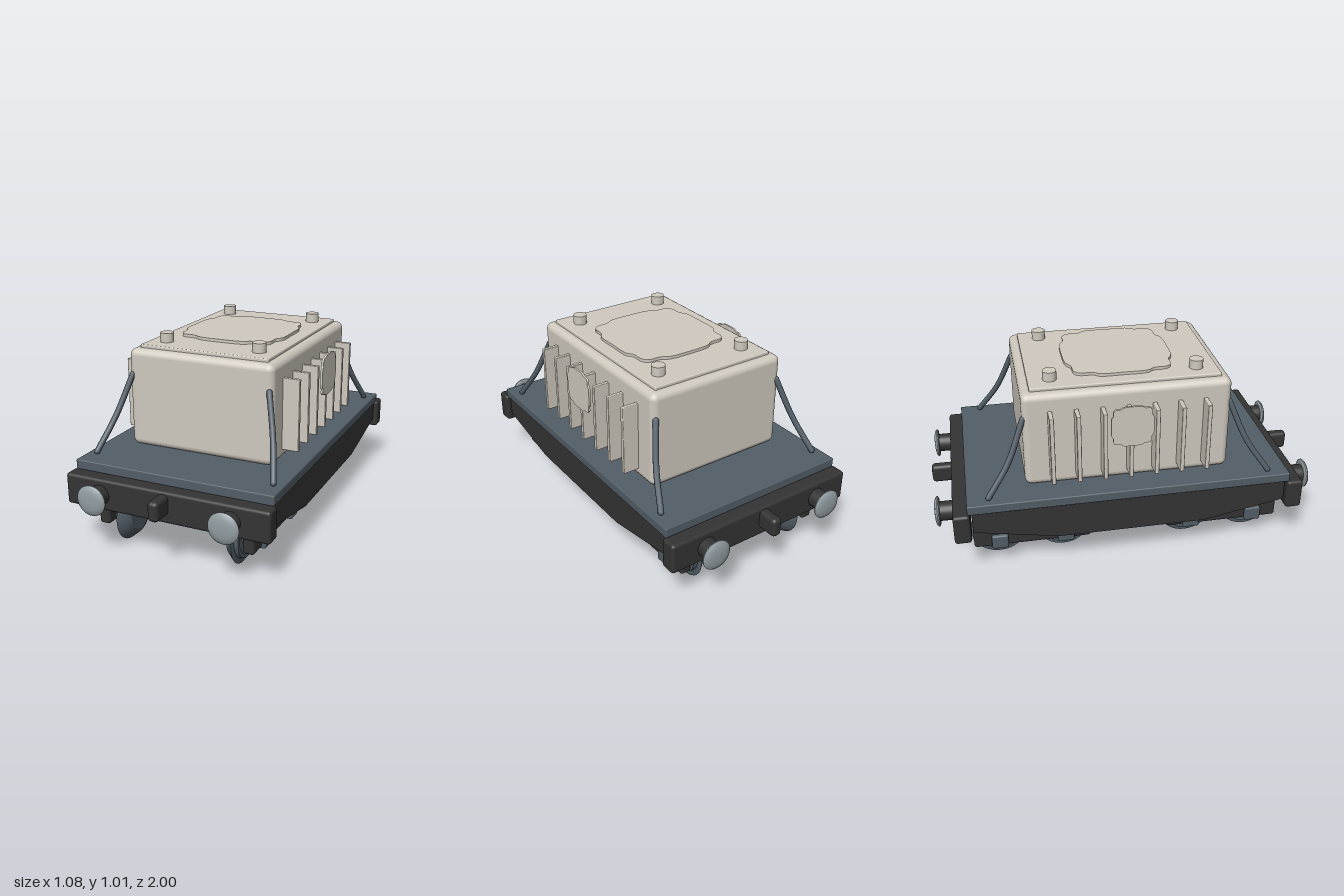
import * as THREE from 'three';
import { toCreasedNormals } from 'three/addons/utils/BufferGeometryUtils.js';
import { RoundedBoxGeometry } from 'three/addons/geometries/RoundedBoxGeometry.js';

const material = (name, color) => {
  const m = new THREE.MeshStandardMaterial({ color });
  m.name = name;
  return m;
};

export function createModel() {
  const cream = material('cream paint', 0xd0cabf);
  const slate = material('slate steel', 0x535e67);
  const black = material('black iron', 0x343434);
  const metal = material('pale metal', 0x929da2);

  const model = new THREE.Group();
  model.name = 'flaskWagon';

  const add = (name, geometry, mat, x = 0, y = 0, z = 0, parent = model) => {
    const mesh = new THREE.Mesh(geometry, mat);
    mesh.name = name;
    mesh.position.set(x, y, z);
    parent.add(mesh);
    return mesh;
  };
  const rounded = (w, h, d, r) => new RoundedBoxGeometry(w, h, d, 3, r);
  const lathe = (profile, segments) => toCreasedNormals(
    new THREE.LatheGeometry(profile.map(([r, a]) => new THREE.Vector2(r, a)), segments), 0.5);

  // Deck
  add('deck', rounded(1.05, 0.05, 1.65, 0.006), slate, 0, 0.417, 0);

  // Tapered side sills
  const sillShape = new THREE.Shape([
    [-0.8, 0.395], [-0.8, 0.285], [-0.38, 0.205], [0.38, 0.205], [0.8, 0.285], [0.8, 0.395],
  ].map(([z, y]) => new THREE.Vector2(z, y)));
  const sillGeometry = new THREE.ExtrudeGeometry(sillShape, {
    depth: 0.06, bevelSize: 0.005, bevelThickness: 0.005, bevelSegments: 2,
  });
  sillGeometry.translate(0, 0, -0.03).rotateY(-Math.PI / 2);
  for (const s of [-1, 1]) add('sideSill', sillGeometry, black, s * 0.48, 0, 0);

  // Flask body, lid and lid bolts
  add('flaskBody', rounded(0.78, 0.505, 1.05, 0.035), cream, 0, 0.6925, 0);
  add('lid', rounded(0.69, 0.03, 0.96, 0.006), cream, 0, 0.946, 0);
  const bolt = toCreasedNormals(new THREE.CylinderGeometry(0.035, 0.035, 0.05, 24), 0.5);
  for (const x of [-0.253, 0.253]) {
    for (const z of [-0.37, 0.37]) add('lidBolt', bolt, cream, x, 0.983, z);
  }

  // Scalloped plates: one quarter outline mirrored round
  const quarter = [[0.275, 0], [0.272, 0.12], [0.25, 0.155], [0.247, 0.215], [0.225, 0.245],
    [0.155, 0.252], [0.12, 0.273], [0, 0.28]];
  const half = [...quarter, ...quarter.slice(0, -1).reverse().map(([x, y]) => [-x, y])];
  const outline = [...half, ...half.slice(1, -1).reverse().map(([x, y]) => [x, -y])];
  const plate = (scale, depth) => {
    const curve = new THREE.CatmullRomCurve3(
      outline.map(([x, y]) => new THREE.Vector3(x * scale, y * scale, 0)), true);
    const points = curve.getPoints(96).slice(0, -1);
    const shape = new THREE.Shape(points.map((p) => new THREE.Vector2(p.x, p.y)));
    return new THREE.ExtrudeGeometry(shape, { depth, bevelEnabled: false });
  };
  add('lidPlate', plate(1, 0.016).rotateX(-Math.PI / 2), cream, 0, 0.96, 0);
  const sidePlate = plate(0.385, 0.011);
  for (const s of [-1, 1]) {
    add('sidePlate', sidePlate, cream, s * 0.476, 0.785, 0).rotation.y = s * Math.PI / 2;
  }

  // Cooling fins
  const fin = rounded(0.11, 0.365, 0.022, 0.004);
  for (const s of [-1, 1]) {
    for (let i = -3; i <= 3; i++) add('coolingFin', fin, cream, s * 0.42, 0.672, i * 0.13);
  }

  // Tie rods from the flask corners to the deck
  for (const sx of [-1, 1]) {
    for (const sz of [-1, 1]) {
      const path = new THREE.CatmullRomCurve3([
        [0.37, 0.815, 0.52], [0.427, 0.61, 0.607], [0.475, 0.452, 0.715],
      ].map(([x, y, z]) => new THREE.Vector3(sx * x, y, sz * z)));
      const rod = new THREE.Group();
      rod.name = 'tieRod';
      model.add(rod);
      add('rod', new THREE.TubeGeometry(path, 16, 0.015, 10), slate, 0, 0, 0, rod);
      for (const p of [path.getPoint(0), path.getPoint(1)]) {
        add('rodEnd', new THREE.SphereGeometry(0.015, 10, 8), slate, p.x, p.y, p.z, rod);
      }
    }
  }

  // End beams, bumpers and coupling hooks at both ends
  const shank = toCreasedNormals(new THREE.CylinderGeometry(0.05, 0.05, 0.09, 28), 0.5);
  shank.rotateX(Math.PI / 2);
  const head = lathe([[0, 0.962], [0.068, 0.962], [0.076, 0.967], [0.077, 0.973],
    [0.068, 0.981], [0.045, 0.987], [0.022, 0.989], [0, 0.99]], 40).rotateX(Math.PI / 2);
  for (const turn of [0, Math.PI]) {
    const end = new THREE.Group();
    end.name = turn ? 'backEnd' : 'frontEnd';
    end.rotation.y = turn;
    model.add(end);
    add('endBeam', rounded(1.076, 0.16, 0.085, 0.016), black, 0, 0.315, 0.855, end);
    add('couplingHook', rounded(0.055, 0.1, 0.13, 0.02), black, 0, 0.332, 0.935, end);
    for (const x of [-0.345, 0.345]) {
      add('bumperShank', shank, black, x, 0.315, 0.925, end);
      add('bumperHead', head, metal, x, 0.315, 0, end);
    }
  }

  // Bogies: frames, bolster, wheelsets and axle boxes
  const wheel = lathe([[0, 0.262], [0.088, 0.258], [0.112, 0.27], [0.147, 0.31],
    [0.12, 0.314], [0.116, 0.333], [0.096, 0.333], [0.09, 0.322], [0.052, 0.322],
    [0.046, 0.334], [0, 0.334]], 40).rotateZ(-Math.PI / 2);
  const axle = toCreasedNormals(new THREE.CylinderGeometry(0.027, 0.027, 0.56, 20), 0.5);
  axle.rotateZ(Math.PI / 2);
  const frame = rounded(0.06, 0.115, 0.605, 0.015);
  const axleBox = rounded(0.06, 0.078, 0.085, 0.01);
  for (const s of [-1, 1]) {
    const bogie = new THREE.Group();
    bogie.name = s > 0 ? 'frontBogie' : 'backBogie';
    bogie.position.z = s * 0.505;
    model.add(bogie);
    add('bolster', rounded(0.84, 0.1, 0.14, 0.01), black, 0, 0.255, 0, bogie);
    for (const side of [-1, 1]) {
      add('bogieFrame', frame, black, side * 0.39, 0.17, 0, bogie);
    }
    for (const z of [-0.17, 0.17]) {
      add('axle', axle, slate, 0, 0.147, z, bogie);
      for (const side of [-1, 1]) {
        add('wheel', wheel, slate, 0, 0.147, z, bogie).rotation.y = side > 0 ? 0 : Math.PI;
        add('axleBox', axleBox, slate, side * 0.41, 0.147, z, bogie);
      }
    }
  }
  return model;
}
